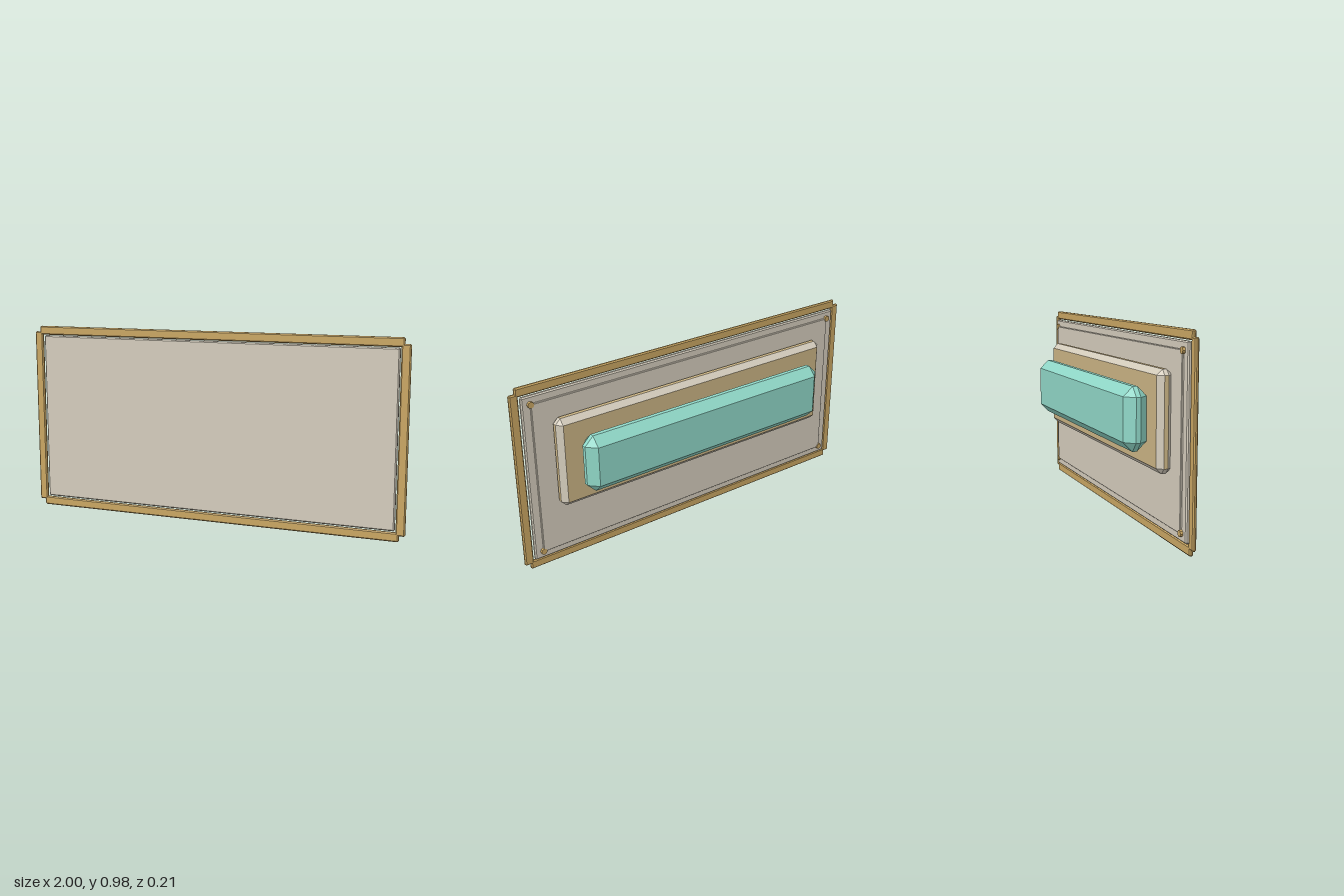
import * as THREE from 'three';
import { ConvexGeometry } from 'three/addons/geometries/ConvexGeometry.js';

const mat = (name, color) => {
  const m = new THREE.MeshStandardMaterial({ color });
  m.name = name;
  return m;
};

// Box with flat chamfers on every edge; group 0 = main faces, group 1 = chamfers
function chamferBox(w, h, d, c) {
  const points = [];
  for (const sx of [-1, 1]) for (const sy of [-1, 1]) for (const sz of [-1, 1]) {
    for (let axis = 0; axis < 3; axis++) {
      const inset = [c, c, c];
      inset[axis] = 0;
      points.push(new THREE.Vector3(
        sx * (w / 2 - inset[0]), sy * (h / 2 - inset[1]), sz * (d / 2 - inset[2])));
    }
  }
  const geo = new ConvexGeometry(points);
  const n = geo.attributes.normal;
  for (let i = 0; i < n.count; i += 3) {
    const main = Math.max(Math.abs(n.getX(i)), Math.abs(n.getY(i)), Math.abs(n.getZ(i)));
    geo.addGroup(i, 3, main > 0.99 ? 0 : 1);
  }
  return geo;
}

export function createModel() {
  const brass = mat('brass', 0xcaa763);
  const tan = mat('tan', 0xcbb484);
  const beige = mat('beige', 0xd5cdbd);
  const teal = mat('teal', 0x90d8c8);
  const model = new THREE.Group();
  model.name = 'wallPanel';

  // Adds a chamfered block given its extents on each axis
  function block(name, [x0, x1], [y0, y1], [z0, z1], c, face, edge = face) {
    const mesh = new THREE.Mesh(chamferBox(x1 - x0, y1 - y0, z1 - z0, c), [face, edge]);
    mesh.position.set((x0 + x1) / 2, (y0 + y1) / 2, (z0 + z1) / 2);
    mesh.name = name;
    model.add(mesh);
  }

  // Frame bars, notched at the corners
  const frameZ = [0.089, 0.108];
  block('frameTop', [-0.97, 0.97], [0.934, 0.98], frameZ, 0.006, brass);
  block('frameBottom', [-0.97, 0.97], [0.005, 0.051], frameZ, 0.006, brass);
  block('frameLeft', [0.954, 1], [0.035, 0.95], frameZ, 0.006, brass);
  block('frameRight', [-1, -0.954], [0.035, 0.95], frameZ, 0.006, brass);

  // Main panel and the raised back plate
  block('panel', [-0.948, 0.948], [0.055, 0.93], [0.08, 0.102], 0.006, beige);
  block('backPlate', [-0.905, 0.905], [0.092, 0.893], [0.071, 0.085], 0.003, beige);

  // Corner pins on the back plate
  for (const x of [-0.905, 0.905]) for (const y of [0.095, 0.89]) {
    const pin = new THREE.Mesh(new THREE.CylinderGeometry(0.016, 0.016, 0.016, 8).toNonIndexed(), brass);
    pin.geometry.computeVertexNormals();
    pin.rotation.x = Math.PI / 2;
    pin.position.set(x, y, 0.075);
    pin.name = 'cornerPin';
    model.add(pin);
  }

  // Rear housing with pale chamfers, and the block mounted on it
  block('housing', [-0.81, 0.81], [0.335, 0.8], [0.007, 0.08], 0.0265, tan, beige);
  block('rearBlock', [-0.715, 0.715], [0.42, 0.715], [-0.105, 0.007], 0.045, teal);
  return model;
}
